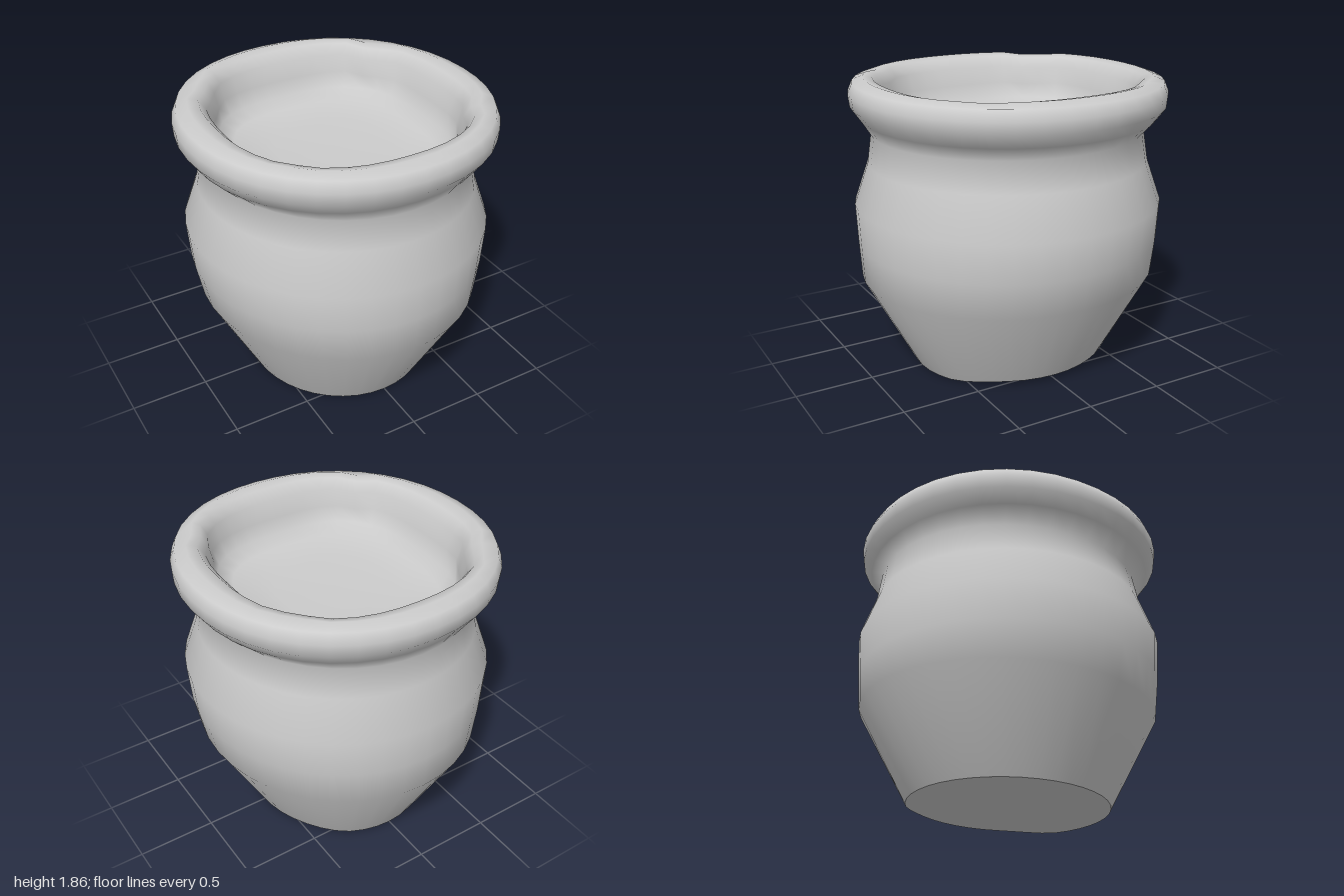
import * as THREE from 'three';
import { mergeVertices } from 'three/addons/utils/BufferGeometryUtils.js';

const SEGMENTS = 40;

// Profiles as [radius along x, radius along z, height, squareness exponent]
const base = [[0, 0, 0, 2], [0.6, 0.65, 0, 2]];
const body = [
  [0.6, 0.65, 0, 2], [0.9, 0.97, 0.59, 2], [0.945, 0.98, 0.82, 2],
  [0.965, 0.99, 1.07, 2], [0.87, 0.9, 1.33, 2], [0.83, 0.875, 1.52, 2],
  [0.92, 0.93, 1.61, 2.05], [0.975, 0.985, 1.69, 2.08], [0.98, 0.995, 1.77, 2.08],
  [0.95, 0.965, 1.835, 2.1], [0.87, 0.89, 1.86, 2.2],
];
const inside = [
  [0.87, 0.89, 1.86, 2.2], [0.79, 0.82, 1.845, 2.4], [0.73, 0.76, 1.78, 2.7],
  [0.69, 0.72, 1.67, 3], [0.65, 0.69, 1.57, 3], [0.57, 0.6, 1.52, 3],
  [0.35, 0.37, 1.5, 2.6], [0, 0, 1.5, 2],
];

// Directions of the pinched corners of the mouth, with their depth
const pinches = [[2.29, 0.05], [-2.27, 0.05], [0.93, 0.03], [-0.76, 0.03]];

// Smooth closed surface swept through superellipse rings
function ringSurface(rings) {
  const points = rings.map(([r, , y]) => new THREE.Vector2(r, y));
  const lathe = new THREE.LatheGeometry(points, SEGMENTS);
  const pos = lathe.attributes.position;
  for (let i = 0; i < pos.count; i++) {
    const [rx, rz, h, n] = rings[i % rings.length];
    const a = (Math.floor(i / rings.length) % SEGMENTS) / SEGMENTS * Math.PI * 2;
    const s = Math.sin(a), c = Math.cos(a);
    const k = Math.pow(Math.abs(s) ** n + Math.abs(c) ** n, -1 / n);
    let x = rx * k * s, z = rz * k * c, y = h;
    // the foot lifts a little on one side
    if (h === 0) y += 0.03 * THREE.MathUtils.smoothstep(x, 0.25, 0.55);
    // small dents where the lip folds at its corners
    if (h > 1.6 && n > 2.1) {
      for (const [angle, depth] of pinches) {
        const d = Math.atan2(Math.sin(a - angle), Math.cos(a - angle));
        const w = Math.exp(-((d / 0.1) ** 2)) * depth;
        x -= s * w;
        z -= c * w;
        y -= w * 0.4;
      }
    }
    pos.setXYZ(i, x, y, z);
  }
  lathe.deleteAttribute('uv');
  lathe.deleteAttribute('normal');
  const geometry = mergeVertices(lathe);
  geometry.computeVertexNormals();
  return geometry;
}

export function createModel() {
  const group = new THREE.Group();
  group.name = 'pot';
  const material = new THREE.MeshStandardMaterial({ color: 0xcccccc });
  const add = (name, rings) => {
    const mesh = new THREE.Mesh(ringSurface(rings), material);
    mesh.name = name;
    group.add(mesh);
  };
  // flat underside
  add('base', base);
  // belly, neck, rolled rim and shallow basin as one smooth skin
  add('potWall', [...body, ...inside.slice(1)]);
  return group;
}
